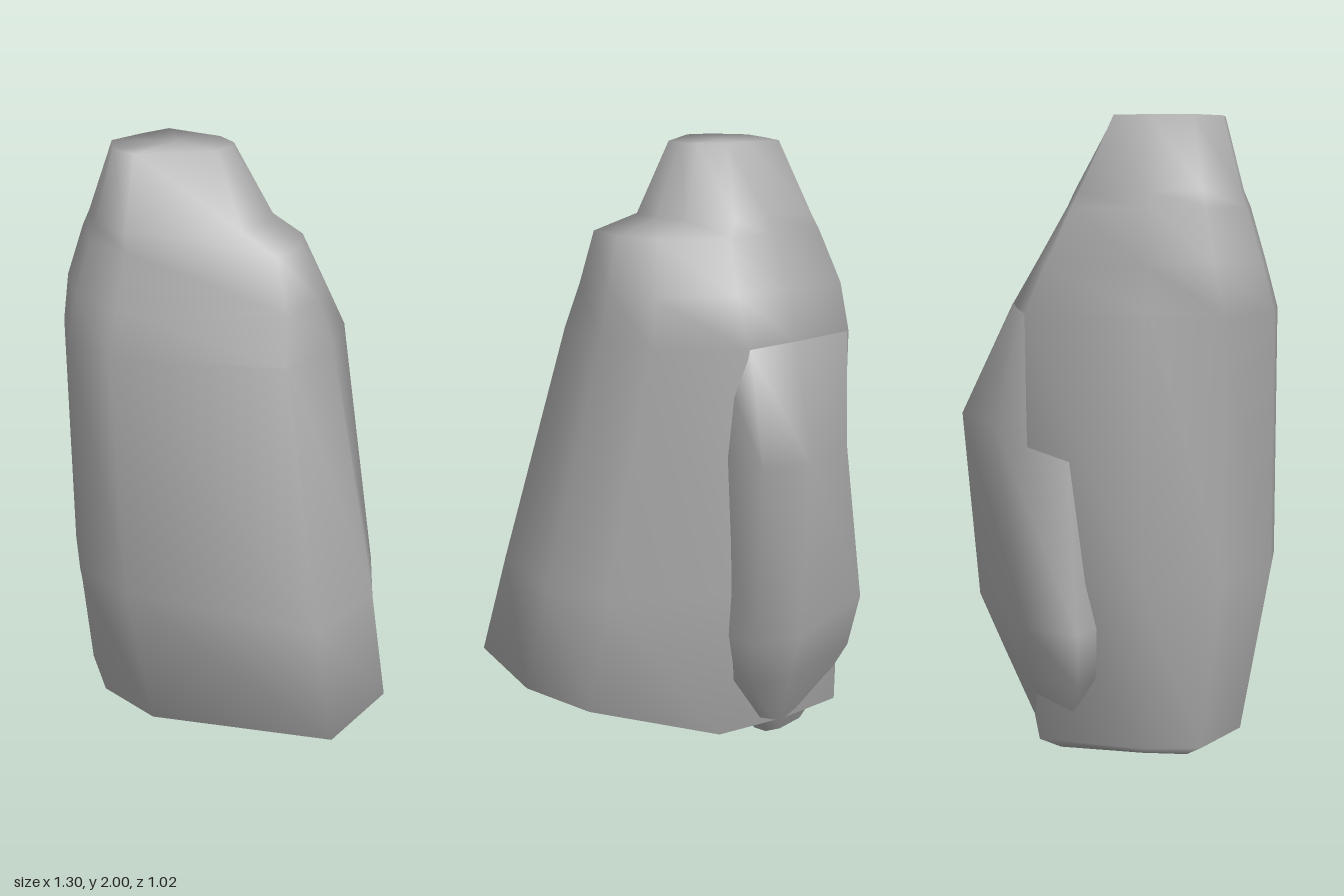
import * as THREE from 'three';

// Skins a boulder from a shared outline of [u, v] points, each from -1 to 1.
// Every ring, top to bottom, gives the reach of the outline around the centre line:
// y, left and right x, front and back z, the upward slope towards +x,
// and any outline points that move to form a corner or bulge.
function boulder([cx, cz], outline, rings) {
  const n = outline.length;
  const pos = [], index = [];
  for (const { y, x: [x0, x1], z: [z0, z1], slope = 0, moves = {} } of rings) {
    outline.forEach((point, i) => {
      const [u, v] = moves[i] ?? point;
      const px = cx + u * (u > 0 ? x1 - cx : cx - x0);
      const pz = cz + v * (v > 0 ? z1 - cz : cz - z0);
      pos.push(px, y + slope * Math.max(0, px + 0.05), pz);
    });
  }
  for (let j = 0; j < rings.length - 1; j++) {
    for (let i = 0; i < n; i++) {
      const a = j * n + i, b = j * n + (i + 1) % n;
      index.push(a, b, a + n, b, b + n, a + n);
    }
  }
  // Close the top and the underside with fans
  for (const start of [0, (rings.length - 1) * n]) {
    const c = pos.length / 3;
    const mean = [0, 0, 0];
    for (let i = 0; i < n * 3; i++) mean[i % 3] += pos[start * 3 + i] / n;
    pos.push(...mean);
    for (let i = 0; i < n; i++) {
      const a = start + i, b = start + (i + 1) % n;
      if (start === 0) index.push(c, b, a);
      else index.push(c, a, b);
    }
  }
  const g = new THREE.BufferGeometry();
  g.setAttribute('position', new THREE.Float32BufferAttribute(pos, 3));
  g.setIndex(index);
  g.computeVertexNormals();
  return g;
}

export function createModel() {
  const group = new THREE.Group();
  group.name = 'rock';
  const stone = new THREE.MeshStandardMaterial({ color: 0xa8a8a8 });
  stone.name = 'grey stone';
  const add = (name, geometry) => {
    const mesh = new THREE.Mesh(geometry, stone);
    mesh.name = name;
    group.add(mesh);
  };

  // Tall main boulder: point 1 runs down the ridge from the shoulder to the
  // pointed foot, point 5 is the bulge on the right side
  const mainOutline = [
    [0.93, -0.35], [1, 0.13], [0.15, 1], [-0.38, 1], [-0.97, 0.66],
    [-1, 0.1], [-0.96, -0.72], [-0.25, -0.88], [0.22, -1], [0.73, -0.73],
  ];
  add('mainBoulder', boulder([-0.18, 0.1], mainOutline, [
    { y: 2, x: [-0.35, 0], z: [-0.02, 0.34] },
    { y: 1.77, x: [-0.43, 0.11], z: [-0.15, 0.4] },
    { y: 1.72, x: [-0.45, 0.26], z: [-0.18, 0.42] },
    { y: 1.55, x: [-0.5, 0.31], z: [-0.28, 0.47] },
    { y: 1.4, x: [-0.5, 0.35], z: [-0.37, 0.51], moves: { 1: [1, 0.22] } },
    { y: 0.58, x: [-0.5, 0.565], z: [-0.36, 0.51], moves: { 1: [1, 0.4], 5: [-1.47, 0.12] } },
    { y: 0.05, x: [-0.51, 0.65], z: [-0.32, 0.42], moves: { 1: [1, 0.59], 5: [-1.06, 0.12] } },
    { y: 0.02, x: [-0.49, 0.42], z: [-0.23, 0.35], moves: { 1: [1, 0.59] }, slope: 0.25 },
  ].map(r => (r.y === 0.05 ? { ...r, slope: 0.27 } : r))));

  // Bulge on the back, continuing the main boulder downwards
  const backOutline = [[0.75, -1], [1, -0.2], [0, 1], [-1, 0.5], [-0.8, -0.1], [0.2, -1]];
  add('backBoulder', boulder([-0.28, -0.2], backOutline, [
    { y: 1.4, x: [-0.48, 0], z: [-0.37, -0.05], moves: { 4: [-1, -0.25], 5: [0.1, -0.75] } },
    { y: 1.05, x: [-0.53, 0.02], z: [-0.51, 0], moves: { 4: [-0.6, -0.5] } },
    { y: 0.44, x: [-0.65, 0.02], z: [-0.46, 0.1] },
    { y: 0.26, x: [-0.6, 0], z: [-0.38, 0.08] },
    { y: 0, x: [-0.38, -0.18], z: [-0.25, -0.08] },
  ]));

  return group;
}
